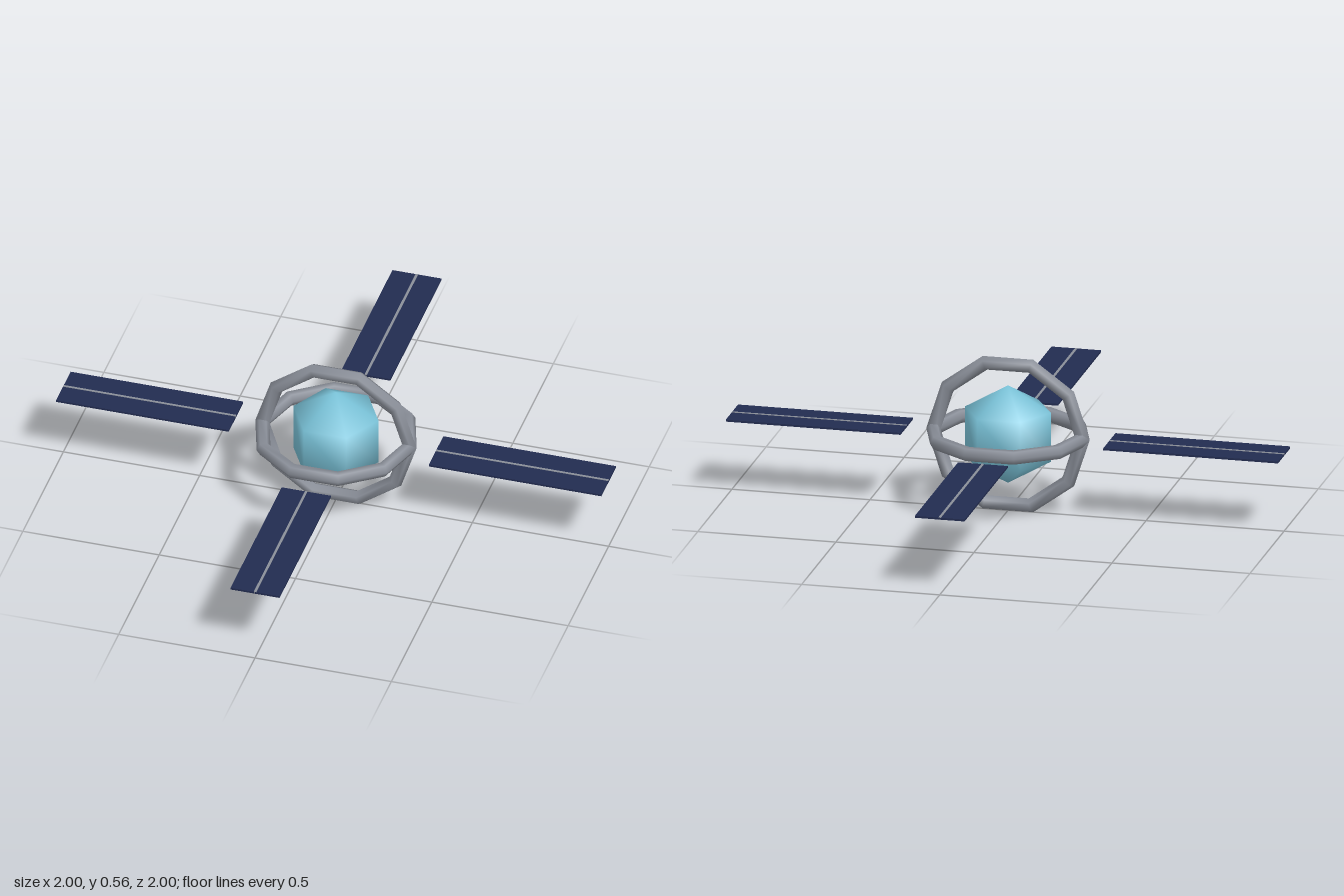
import * as THREE from 'three';

const CENTER_Y = 0.282;

function material(name, color) {
  const m = new THREE.MeshStandardMaterial({ color });
  m.name = name;
  return m;
}

export function createModel() {
  const coreBlue = material('core blue', 0x7cc6dc);
  const frameGrey = material('frame grey', 0x8a8f99);
  const panelNavy = material('panel navy', 0x222c50);

  const model = new THREE.Group();
  model.name = 'satellite';

  function add(parent, name, geometry, mat) {
    const mesh = new THREE.Mesh(geometry, mat);
    mesh.name = name;
    parent.add(mesh);
    return mesh;
  }

  // Faceted core with smooth shading
  add(model, 'core', new THREE.SphereGeometry(0.18, 6, 3), coreBlue).position.y = CENTER_Y;

  // Two crossed ten-sided rings
  const ringGeometry = new THREE.TorusGeometry(0.27, 0.026, 6, 10);
  add(model, 'uprightRing', ringGeometry, frameGrey).position.y = CENTER_Y;
  const levelRing = add(model, 'levelRing', ringGeometry, frameGrey);
  levelRing.position.y = CENTER_Y;
  levelRing.rotation.x = Math.PI / 2;

  // Four free-floating solar panels, each with a thin central spar
  const inner = 0.367, length = 1 - inner;
  const panelGeometry = new THREE.BoxGeometry(length, 0.007, 0.18);
  const sparGeometry = new THREE.BoxGeometry(length, 0.01, 0.009);
  for (let i = 0; i < 4; i++) {
    const wing = new THREE.Group();
    wing.name = 'solarWing' + (i + 1);
    wing.position.y = CENTER_Y;
    wing.rotation.y = (i * Math.PI) / 2;
    add(wing, 'panel', panelGeometry, panelNavy).position.x = inner + length / 2;
    add(wing, 'spar', sparGeometry, frameGrey).position.x = inner + length / 2;
    model.add(wing);
  }

  return model;
}
